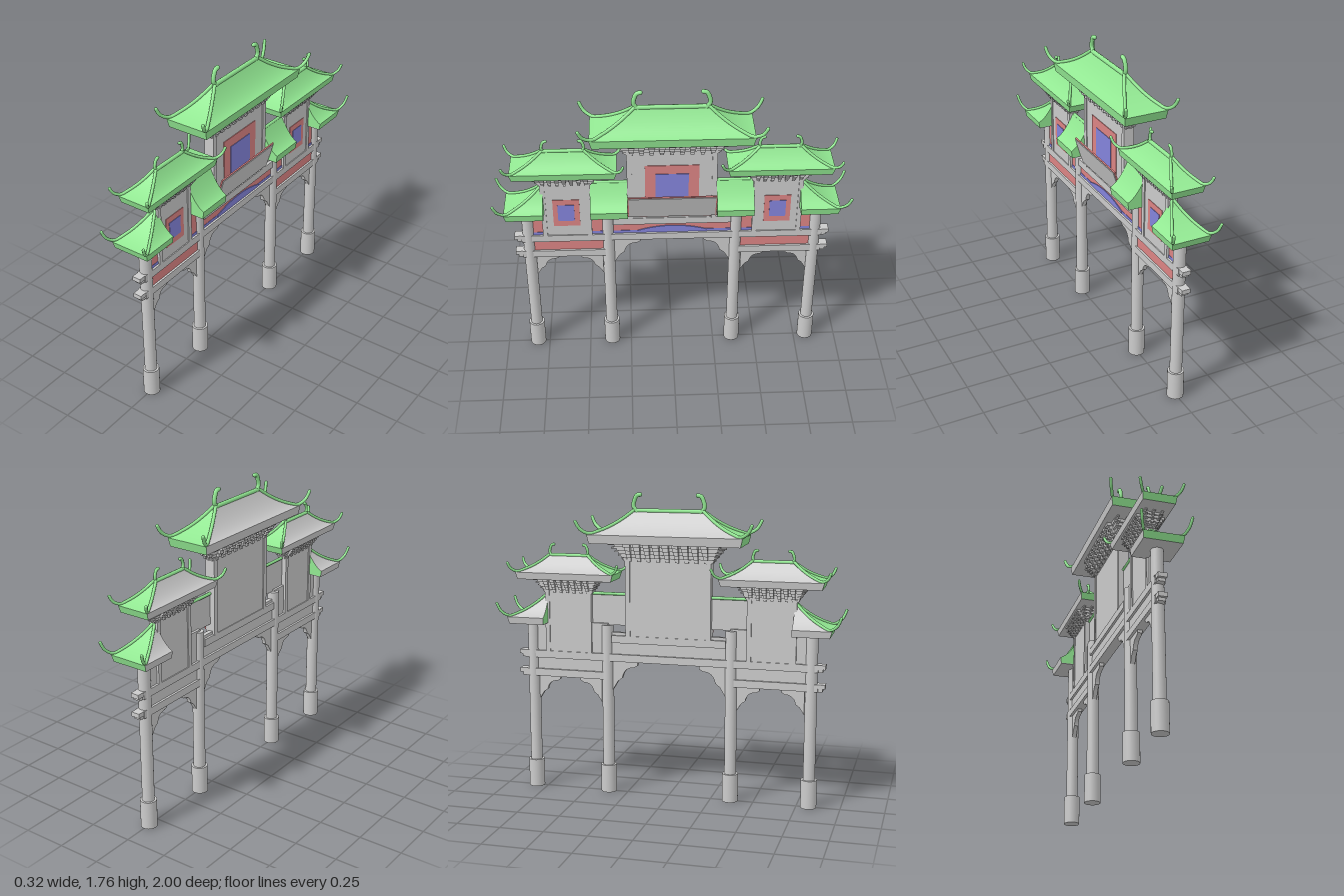
import * as THREE from 'three';
import { ParametricGeometry } from 'three/addons/geometries/ParametricGeometry.js';

const mat = (color) => new THREE.MeshStandardMaterial({ color, side: THREE.DoubleSide });
const grey = mat(0xcccccc), green = mat(0x92e892), red = mat(0xdc8484), blue = mat(0x8484dc);

export function createModel() {
  const root = new THREE.Group();
  let target = root;
  const add = (name, geo, material = grey) => {
    const mesh = new THREE.Mesh(geo, material);
    mesh.name = name;
    target.add(mesh);
    return mesh;
  };
  const group = (name, build) => {
    const g = new THREE.Group();
    g.name = name;
    root.add(g);
    target = g;
    build();
    target = root;
  };
  // box given by its limits on each axis
  const block = (name, x0, x1, y0, y1, z0, z1, material) => {
    const b = add(name, new THREE.BoxGeometry(x1 - x0, y1 - y0, Math.abs(z1 - z0)), material);
    b.position.set((x0 + x1) / 2, (y0 + y1) / 2, (z0 + z1) / 2);
    return b;
  };
  const tube = (name, pts, r, material = green) => {
    const curve = new THREE.CatmullRomCurve3(pts.map((p) => new THREE.Vector3(...p)));
    add(name, new THREE.TubeGeometry(curve, 16, r, 8), material);
    // close the far end
    const cap = add(name + 'Tip', new THREE.SphereGeometry(r, 8, 6), material);
    cap.position.set(...pts[pts.length - 1]);
  };
  // flat outline in the z-y plane, thickened along x
  const slab = (name, shape, x, depth, material) => {
    const geo = new THREE.ExtrudeGeometry(shape, { depth, bevelEnabled: false, curveSegments: 10 });
    geo.translate(0, 0, -depth / 2).rotateY(-Math.PI / 2);
    add(name, geo, material).position.x = x;
  };

  // Concave hipped roof: flared fascia, four curved slopes, soffit, ridge and upturned hip ribs
  function roof(o) {
    const { X, za, zb, ra, rb, yb, ye, yt, half = false } = o;
    const lerp = THREE.MathUtils.lerp;
    const height = (s) => lerp(ye, yt, 0.35 * s + 0.65 * s * s);
    const corners = (x, a, b, y) => {
      const back = half ? 0 : -x;
      return [[x, y, b], [x, y, a], [back, y, a], [back, y, b]];
    };
    const slope = (s) => corners(lerp(X, 0.006, s), lerp(za, ra, s), lerp(zb, rb, s), height(s));
    const inA = za === ra ? 0 : 0.012, inB = zb === rb ? 0 : 0.012;
    const fascia = (s) => corners(X - 0.006 * (1 - s), za + inA * (1 - s), zb - inB * (1 - s), lerp(yb, ye, s));
    for (let i = 0; i < 4; i++) {
      const patch = (ring) => (u, v, p) => {
        const c = ring(v), a = c[i], b = c[(i + 1) % 4];
        p.set(lerp(a[0], b[0], u), lerp(a[1], b[1], u), lerp(a[2], b[2], u));
      };
      const m = i === 2 ? grey : green;
      add('roofSlope', new ParametricGeometry(patch(slope), 1, 12), m);
      add('roofFascia', new ParametricGeometry(patch(fascia), 1, 1), m);
    }
    block('soffit', half ? 0 : -X + 0.006, X - 0.006, yb, yb + 0.004, za + inA, zb - inB);
    tube('ridge', [[0, yt, ra], [0, yt, rb]], o.r);
    const tip = (z, zr) => {
      const d = Math.sign(z - zr);
      for (const sx of [1, -1]) {
        const at = (s) => [sx * lerp(X, 0.006, s), height(s) + 0.004, lerp(z, zr, s)];
        tube('hipRib', [at(1), at(0.75), at(0.5), at(0.25), at(0.06),
          [sx * (X + 0.014), ye + o.lift * 0.45, z + d * o.out * 0.6],
          [sx * (X + 0.024), ye + o.lift, z + d * o.out]], o.r * 0.75);
      }
    };
    if (za !== ra) tip(za, ra);
    if (zb !== rb) tip(zb, rb);
  }

  // Curled ornament standing on a ridge end; d points outwards
  const horn = (z, y, d, h) => tube('ridgeHorn', [[0, y - 0.01, z - d * 0.1 * h], [0, y + 0.25 * h, z + d * 0.15 * h],
    [0, y + 0.6 * h, z + d * 0.1 * h], [0, y + 0.9 * h, z - d * 0.05 * h], [0, y + 0.95 * h, z - d * 0.25 * h]], 0.13 * h);

  // Stepped bracket clusters flaring from a wall top up to the soffit
  function brackets(zc, hz0, hz1, hx1, y0, y1, count) {
    const steps = 5, dy = (y1 - y0) / steps;
    for (let k = 0; k < steps; k++) {
      const t = (k + 1) / steps, y = y0 + k * dy;
      const hx = 0.02 + (hx1 - 0.02) * t, hz = hz0 + (hz1 - hz0) * t;
      block('bracketCore', -hx * 0.72, hx * 0.72, y, y + dy, zc - hz0 - (hz - hz0) * 0.55, zc + hz0 + (hz - hz0) * 0.55);
      for (let j = 0; j < count; j++) {
        const z = zc - hz0 + ((j + 0.5) * 2 * hz0) / count, w = (hz0 / count) * (0.3 + 0.4 * t);
        block('bracketArm', -hx, hx, y, y + dy, z - w, z + w);
      }
      for (const x of [-0.6, 0, 0.6])
        block('endBracket', x * hx - 0.007, x * hx + 0.007, y + dy * 0.45, y + dy * 0.85, zc - hz, zc + hz);
    }
  }

  // Curved corbel under a beam; d is the direction away from the column
  function corbel(z, y, d, w, h) {
    const s = new THREE.Shape();
    s.moveTo(z, y);
    s.lineTo(z + d * w, y);
    s.lineTo(z + d * w, y - 0.12 * h);
    s.lineTo(z + d * w * 0.85, y - 0.2 * h);
    s.quadraticCurveTo(z + d * w * 0.45, y - 0.2 * h, z + d * w * 0.38, y - 0.58 * h);
    s.lineTo(z + d * w * 0.2, y - 0.7 * h);
    s.lineTo(z, y - h);
    slab('corbel', s, 0, 0.025);
  }

  for (const m of [1, -1]) {
    const span = (a, b) => (m > 0 ? [a, b] : [-b, -a]);

    group('columns', () => {
      for (const z of [0.82, 0.365]) {
        add('columnShaft', new THREE.CylinderGeometry(0.034, 0.034, 1, 24)).position.set(0, 0.5, m * z);
        add('columnBase', new THREE.CylinderGeometry(0.046, 0.046, 0.165, 24)).position.set(0, 0.0825, m * z);
      }
    });

    group('sideBay', () => {
      for (const y of [0.68, 0.79]) {
        block('sideBeam', -0.028, 0.028, y, y + 0.043, ...span(0.365, 0.86));
        block('beamEndUpper', -0.025, 0.025, y + 0.018, y + 0.043, ...span(0.86, 0.9));
        block('beamEndLower', -0.02, 0.02, y, y + 0.018, ...span(0.86, 0.885));
      }
      block('sideLowerWall', -0.015, 0.012, 0.72, 0.79, ...span(0.39, 0.79));
      block('sideLowerPanel', 0.01, 0.018, 0.725, 0.79, ...span(0.395, 0.79), red);
      block('sideUpperWall', -0.015, 0.01, 0.83, 1.01, ...span(0.36, 0.8));
      block('sideUpperPanel', 0.008, 0.014, 0.85, 1.0, ...span(0.39, 0.79), red);
      block('sideBlueStrip', 0.008, 0.016, 0.83, 0.85, ...span(0.39, 0.79), blue);
      corbel(m * 0.785, 0.68, -m, 0.13, 0.14);
      corbel(m * 0.4, 0.68, m, 0.13, 0.14);
    });

    group('sideTower', () => {
      block('towerWall', -0.022, 0.022, 0.83, 1.19, ...span(0.47, 0.725));
      for (const z of [0.468, 0.722])
        block('towerPost', -0.028, 0.028, 0.83, 1.19, m * z - 0.013, m * z + 0.013);
      block('towerRedFrame', 0.02, 0.025, 0.9, 1.08, ...span(0.52, 0.67), red);
      block('towerBluePanel', 0.02, 0.028, 0.937, 1.045, ...span(0.55, 0.643), blue);
      brackets(m * 0.596, 0.14, 0.2, 0.078, 1.18, 1.262, 7);
      const [za, zb] = span(0.305, 0.89), [ra, rb] = span(0.48, 0.71);
      roof({ X: 0.096, za, zb, ra, rb, yb: 1.26, ye: 1.3, yt: 1.395, r: 0.011, lift: 0.055, out: 0.035 });
      horn(m * 0.7, 1.395, m, 0.065);
      horn(m * 0.49, 1.395, -m, 0.065);
    });

    group('lowerRoofs', () => {
      const [za, zb] = span(0.72, 0.94);
      const [ra, rb] = span(0.72, 0.73);
      roof({ X: 0.113, za, zb, ra, rb, yb: 1.0, ye: 1.04, yt: 1.165, r: 0.011, lift: 0.08, out: 0.05 });
      const [ia, ib] = span(0.25, 0.458);
      roof({ X: 0.113, za: ia, zb: ib, ra: ia, rb: ib, yb: 1.0, ye: 1.045, yt: 1.182, r: 0.009, half: true });
    });
  }

  group('centreBay', () => {
    block('lowerLintel', -0.028, 0.028, 0.79, 0.833, -0.365, 0.365);
    block('upperLintel', -0.028, 0.028, 0.9, 0.943, -0.335, 0.335);
    block('lintelWall', -0.015, 0.01, 0.83, 0.96, -0.34, 0.34);
    block('lintelRedPanel', 0.008, 0.014, 0.848, 0.9, -0.335, 0.335, red);
    block('lintelBlueStrip', 0.008, 0.016, 0.833, 0.85, -0.335, 0.335, blue);
    const arch = new THREE.Shape();
    arch.moveTo(-0.2, 0.835);
    arch.lineTo(0.2, 0.835);
    arch.lineTo(0.2, 0.848);
    arch.quadraticCurveTo(0, 0.912, -0.2, 0.848);
    slab('blueArch', arch, 0.015, 0.008, blue);
    for (const m of [1, -1]) corbel(m * 0.332, 0.79, -m, 0.15, 0.17);
  });

  group('mainTower', () => {
    block('mainWall', -0.024, 0.024, 0.94, 1.39, -0.24, 0.24);
    for (const z of [-0.236, 0.236]) block('mainPost', -0.03, 0.03, 0.94, 1.39, z - 0.014, z + 0.014);
    block('mainRedFrame', 0.022, 0.028, 1.0, 1.3, -0.15, 0.15, red);
    block('mainBluePanel', 0.022, 0.031, 1.0, 1.245, -0.092, 0.092, blue);
    brackets(0, 0.25, 0.34, 0.095, 1.375, 1.482, 9);
    roof({ X: 0.127, za: -0.445, zb: 0.445, ra: -0.2, rb: 0.2, yb: 1.48, ye: 1.53, yt: 1.66, r: 0.013, lift: 0.075, out: 0.055 });
    for (const m of [1, -1]) horn(m * 0.19, 1.66, m, 0.095);
  });

  // Name board leaning forward at its top
  group('signBoard', () => {
    const frame = block('signFrame', 0.055, 0.063, 0.957, 1.132, -0.25, 0.25, red);
    const face = block('signFace', 0.06, 0.068, 0.964, 1.125, -0.243, 0.243);
    frame.rotation.z = face.rotation.z = -0.3;
  });

  return root;
}
